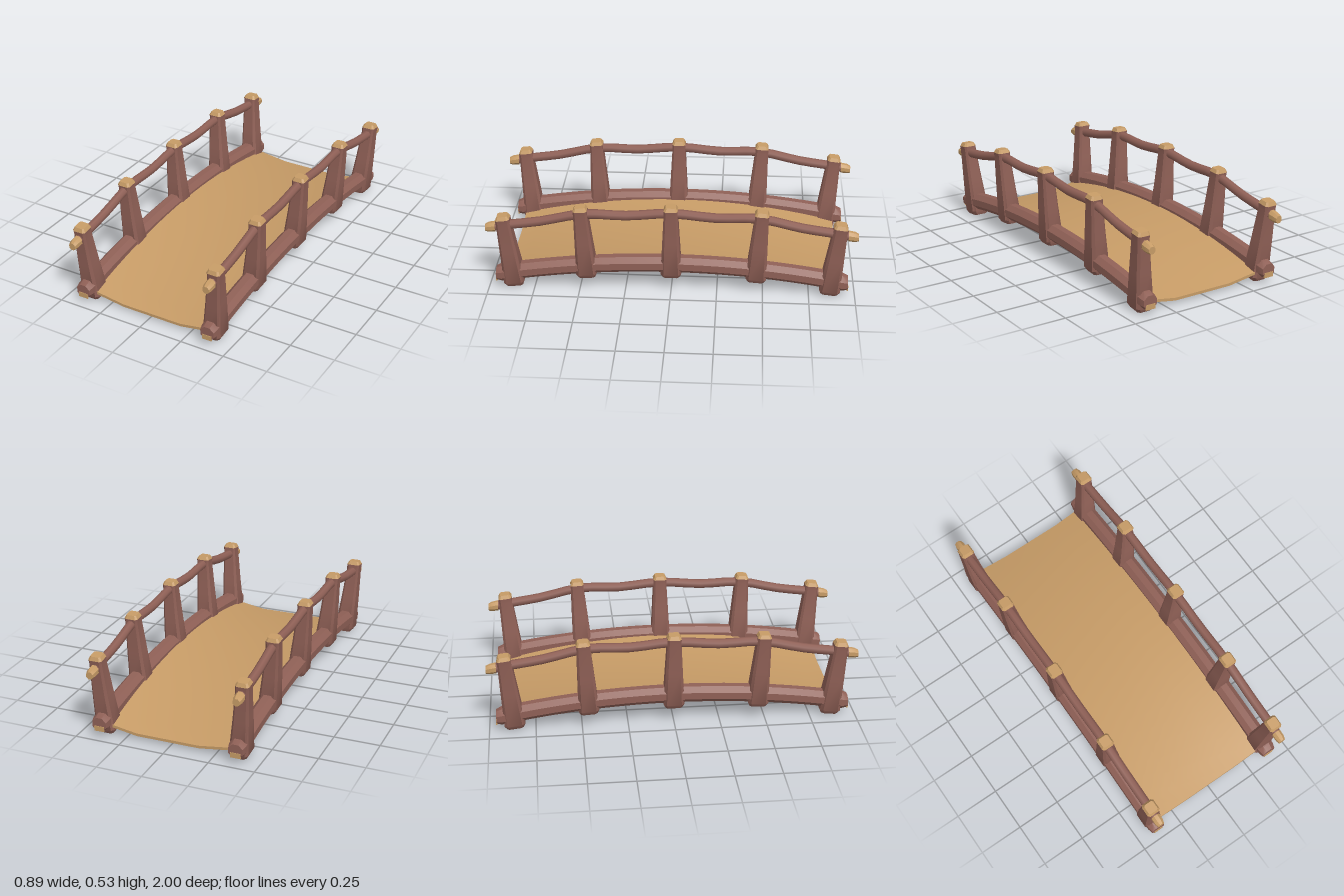
import * as THREE from 'three';
import { toCreasedNormals } from 'three/addons/utils/BufferGeometryUtils.js';

const bark = new THREE.MeshStandardMaterial({ color: 0x8f6056 });
bark.name = 'reddish bark';
const cutWood = new THREE.MeshStandardMaterial({ color: 0xc69b66 });
cutWood.name = 'cut wood';

// Skins a list of convex rings and closes both ends
function loft(rings, crease = 0.6) {
  const pos = [];
  const tri = (a, b, c) => pos.push(...a, ...b, ...c);
  const n = rings[0].length;
  for (let k = 0; k < rings.length - 1; k++) {
    const a = rings[k], b = rings[k + 1];
    for (let i = 0; i < n; i++) {
      const j = (i + 1) % n;
      tri(a[i], a[j], b[j]);
      tri(a[i], b[j], b[i]);
    }
  }
  const first = rings[0], last = rings[rings.length - 1];
  for (let i = 1; i < n - 1; i++) {
    tri(first[0], first[i + 1], first[i]);
    tri(last[0], last[i], last[i + 1]);
  }
  const g = new THREE.BufferGeometry();
  g.setAttribute('position', new THREE.Float32BufferAttribute(pos, 3));
  return toCreasedNormals(g, crease);
}

// Upright ring for timbers that run along z
function logRing(x, y, z, rx, ry, sides = 8) {
  return Array.from({ length: sides }, (_, i) => {
    const t = ((i + 0.5) / sides) * Math.PI * 2;
    return [x + Math.cos(t) * rx, y + Math.sin(t) * ry, z];
  });
}

// Level square ring with cut corners, sheared by slope along z
function postRing(x, y, z, hx, hz, slope) {
  const c = 0.72;
  const corners = [[1, c], [c, 1], [-c, 1], [-1, c], [-1, -c], [-c, -1], [c, -1], [1, -c]];
  return corners.map(([u, v]) => [x + u * hx, y + v * hz * slope, z - v * hz]);
}

function add(group, name, geometry, material) {
  const mesh = new THREE.Mesh(geometry, material);
  mesh.name = name;
  group.add(mesh);
}

const beamY = (z) => 0.167 - 0.1 * z * z;

// Post: bottom height, bottom z, top z, lean of the cut ends
const posts = [
  { y: 0.09, z0: 0, z1: 0, slope: 0 },
  { y: 0.075, z0: 0.46, z1: 0.485, slope: 0.07 },
  { y: 0.01, z0: 0.86, z1: 0.905, slope: 0.12 },
];

function addPost(group, side, end, p) {
  const slope = p.slope * end;
  const at = (t, x, hx, hz) =>
    postRing(side * x, p.y + 0.44 * t, end * (p.z0 + (p.z1 - p.z0) * t), hx, hz, slope);
  const post = new THREE.Group();
  post.name = 'post';
  const shoulder = at(0.955, 0.405, 0.038, 0.038);
  add(post, 'postShaft', loft([
    at(0, 0.374, 0.04, 0.045),
    at(0.055, 0.376, 0.054, 0.056),
    at(0.5, 0.392, 0.044, 0.046),
    at(0.9, 0.404, 0.036, 0.037),
    shoulder,
  ]), bark);
  add(post, 'postCap', loft([shoulder, at(1, 0.405, 0.028, 0.028)], 0.3), cutWood);
  group.add(post);
}

// Handrail sagging between the posts
function addRail(group, side) {
  const knots = [
    [0, 0.485], [0.24, 0.465], [0.47, 0.468], [0.7, 0.418], [0.9, 0.388], [0.955, 0.377],
  ];
  const full = [...knots.slice(1).reverse().map(([z, y]) => [-z, y]), ...knots];
  const curve = new THREE.CatmullRomCurve3(full.map(([z, y]) => new THREE.Vector3(side * 0.404, y, z)));
  const rings = curve.getPoints(30).map((p) => logRing(p.x, p.y, p.z, 0.025, 0.026));
  add(group, 'handrail', loft(rings, 0.9), bark);
  for (const end of [-1, 1]) {
    const tip = [
      logRing(side * 0.403, 0.379, end * 0.945, 0.027, 0.03),
      logRing(side * 0.403, 0.374, end * 0.98, 0.026, 0.028),
      logRing(side * 0.403, 0.37, end, 0.02, 0.021),
    ];
    if (end < 0) tip.reverse();
    add(group, 'handrailTip', loft(tip, 0.4), cutWood);
  }
}

// Arched side beam with a cut face at each end
function addBeam(group, side) {
  const rings = [logRing(side * 0.382, 0.076, -0.96, 0.042, 0.04)];
  for (let i = -10; i <= 10; i++) {
    const z = i * 0.093;
    rings.push(logRing(side * 0.382, beamY(z), z, 0.05, 0.05));
  }
  rings.push(logRing(side * 0.382, 0.076, 0.96, 0.042, 0.04));
  add(group, 'sideBeam', loft(rings, 0.7), bark);
  for (const end of [-1, 1]) {
    const plate = new THREE.BoxGeometry(0.056, 0.028, 0.008);
    plate.translate(side * 0.382, 0.053, end * 0.959);
    add(group, 'beamEndFace', plate, cutWood);
  }
}

// Dished walkway, extruded along z and then arched
function deckGeometry() {
  const top = [[-0.34, 0.175], [-0.16, 0.15], [0.19, 0.15], [0.34, 0.175]];
  const bottom = top.map(([x, y]) => [x, y - 0.015]).reverse();
  const shape = new THREE.Shape([...top, ...bottom].map(([x, y]) => new THREE.Vector2(x, y)));
  const g = new THREE.ExtrudeGeometry(shape, { depth: 1.82, steps: 20, bevelEnabled: false });
  g.translate(0, 0, -0.91);
  const p = g.attributes.position;
  for (let i = 0; i < p.count; i++) {
    p.setY(i, p.getY(i) - 0.135 * p.getZ(i) ** 2);
  }
  g.clearGroups();
  return toCreasedNormals(g, 0.5);
}

export function createModel() {
  const model = new THREE.Group();
  model.name = 'footbridge';
  add(model, 'deck', deckGeometry(), cutWood);
  for (const side of [-1, 1]) {
    const railing = new THREE.Group();
    railing.name = side > 0 ? 'leftRailing' : 'rightRailing';
    addBeam(railing, side);
    addRail(railing, side);
    for (const p of posts) {
      addPost(railing, side, 1, p);
      if (p.z0 > 0) addPost(railing, side, -1, p);
    }
    model.add(railing);
  }
  return model;
}
